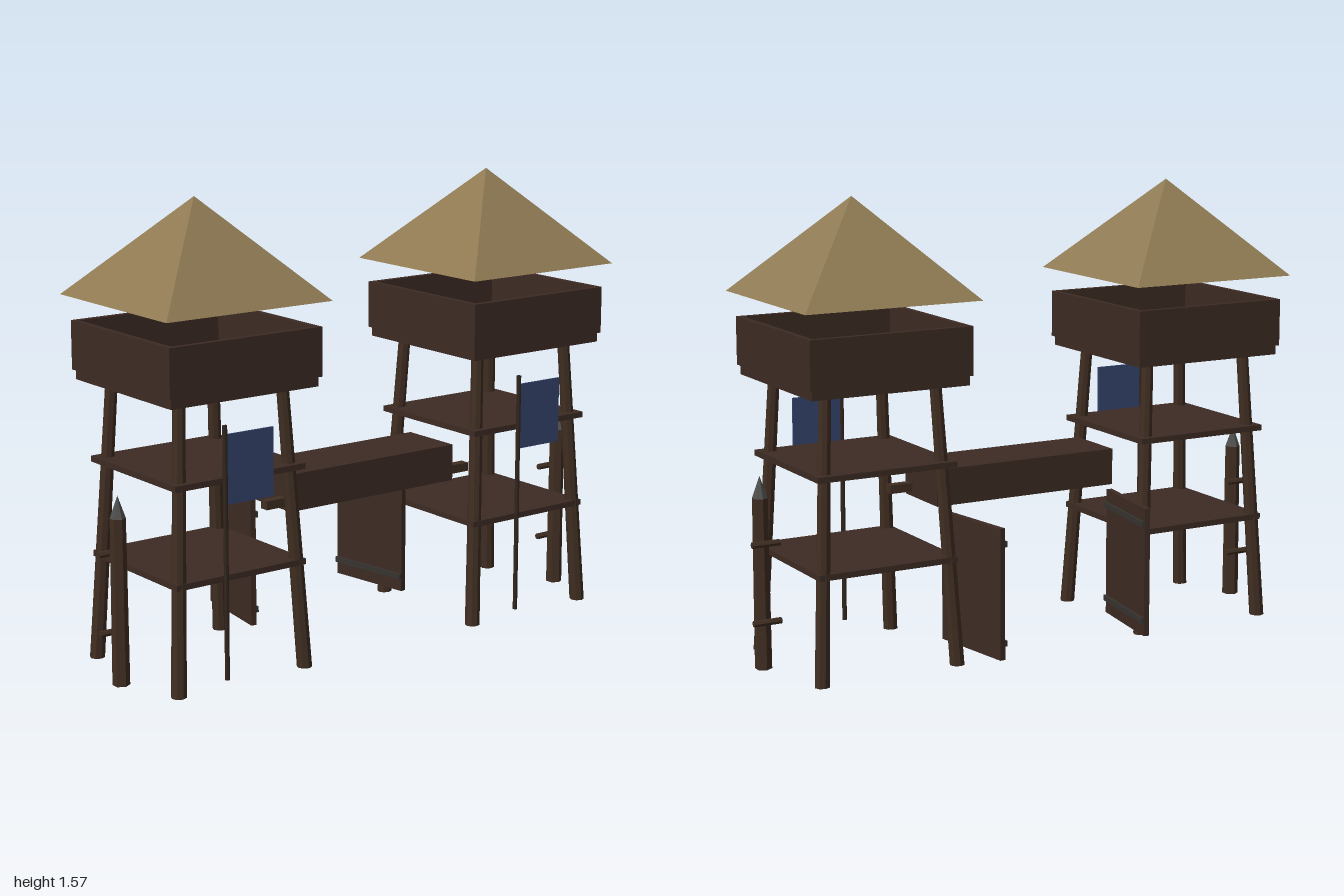
import * as THREE from 'three';

const mat = (name, color) => {
  const m = new THREE.MeshStandardMaterial({ color });
  m.name = name;
  return m;
};

export function createModel() {
  const plank = mat('plank brown', 0x3d2b23);
  const log = mat('log brown', 0x402e22);
  const thatch = mat('thatch', 0x8f7a53);
  const cloth = mat('blue cloth', 0x364670);
  const iron = mat('iron', 0x50504e);
  const darkIron = mat('dark iron', 0x36332f);
  const darkWood = mat('dark wood', 0x33271f);
  thatch.flatShading = log.flatShading = iron.flatShading = true;

  const model = new THREE.Group();
  model.name = 'gatehouse';

  const add = (parent, name, geo, material, x, y, z) => {
    const m = new THREE.Mesh(geo, material);
    m.name = name;
    m.position.set(x, y, z);
    parent.add(m);
    return m;
  };
  const box = (parent, name, w, h, d, material, x, y, z) =>
    add(parent, name, new THREE.BoxGeometry(w, h, d), material, x, y, z);
  const rod = (parent, name, rTop, rBottom, h, sides, material, x, y, z) =>
    add(parent, name, new THREE.CylinderGeometry(rTop, rBottom, h, sides), material, x, y, z);

  // One watchtower, centred on its own axis
  function tower(name) {
    const t = new THREE.Group();
    t.name = name;

    // Legs lean inward towards the lookout
    for (const sx of [-1, 1]) {
      for (const sz of [-1, 1]) {
        const geo = new THREE.CylinderGeometry(0.021, 0.026, 0.97, 8);
        const p = geo.attributes.position;
        for (let i = 0; i < p.count; i++) {
          const inset = 0.225 - (p.getY(i) / 0.97) * 0.05;
          p.setX(i, p.getX(i) + sx * inset);
          p.setZ(i, p.getZ(i) + sz * inset);
        }
        geo.computeVertexNormals();
        add(t, 'leg', geo, log, 0, 0.485, 0);
      }
    }

    // Two open platforms and the lookout floor
    for (const y of [0.365, 0.69]) box(t, 'platform', 0.508, 0.02, 0.508, plank, 0, y, 0);
    box(t, 'lookoutFloor', 0.57, 0.035, 0.57, plank, 0, 0.975, 0);

    // Lookout parapet
    for (const s of [-1, 1]) {
      box(t, 'parapetWall', 0.588, 0.165, 0.02, plank, 0, 1.0725, s * 0.284);
      box(t, 'parapetSideWall', 0.02, 0.165, 0.548, plank, s * 0.284, 1.0725, 0);
    }

    // Pyramid roof
    const roof = new THREE.ConeGeometry(0.318 * Math.SQRT2, 0.33, 4);
    roof.rotateY(Math.PI / 4);
    add(t, 'roof', roof, thatch, 0, 1.405, 0);

    // Banner on its pole
    rod(t, 'bannerPole', 0.008, 0.008, 0.845, 6, darkWood, -0.095, 0.4625, 0.3);
    box(t, 'banner', 0.182, 0.23, 0.006, cloth, 0.0, 0.74, 0.3);
    return t;
  }

  for (const s of [-1, 1]) {
    const side = s > 0 ? 'left' : 'right';
    const t = tower(side + 'Tower');
    t.position.set(s * 0.617, 0, 0.048);
    model.add(t);

    // Gate leaf, swung open, with iron straps on the inner face
    const gate = new THREE.Group();
    gate.name = side + 'Gate';
    gate.position.set(s * 0.307, 0.27, -0.207);
    gate.rotation.y = s * 0.145;
    box(gate, 'gatePanel', 0.02, 0.45, 0.325, plank, 0, 0, 0);
    for (const y of [-0.17, 0.17]) {
      box(gate, 'gateStrap', 0.01, 0.02, 0.325, darkIron, -s * 0.014, y, 0);
    }
    model.add(gate);

    // Sharpened stake with two cross pegs
    const stake = new THREE.Group();
    stake.name = side + 'Stake';
    stake.position.set(s * 0.95, 0, 0.083);
    const h = s > 0 ? 0.585 : 0.563;
    rod(stake, 'stakePost', 0.026, 0.029, h, 6, log, 0, h / 2, 0);
    add(stake, 'stakeTip', new THREE.ConeGeometry(0.026, 0.075, 6), iron, 0, h + 0.0375, 0);
    for (const y of [0.17, 0.438]) {
      rod(stake, 'crossPeg', 0.011, 0.011, 0.1, 6, log, 0, y, -0.042).rotation.z = Math.PI / 2;
    }
    model.add(stake);
  }

  // Bridge between the towers, with a carrying beam
  box(model, 'bridge', 0.7, 0.128, 0.234, plank, 0, 0.572, 0.083);
  box(model, 'bridgeBeam', 0.87, 0.03, 0.034, log, 0, 0.54, 0.167);

  return model;
}
